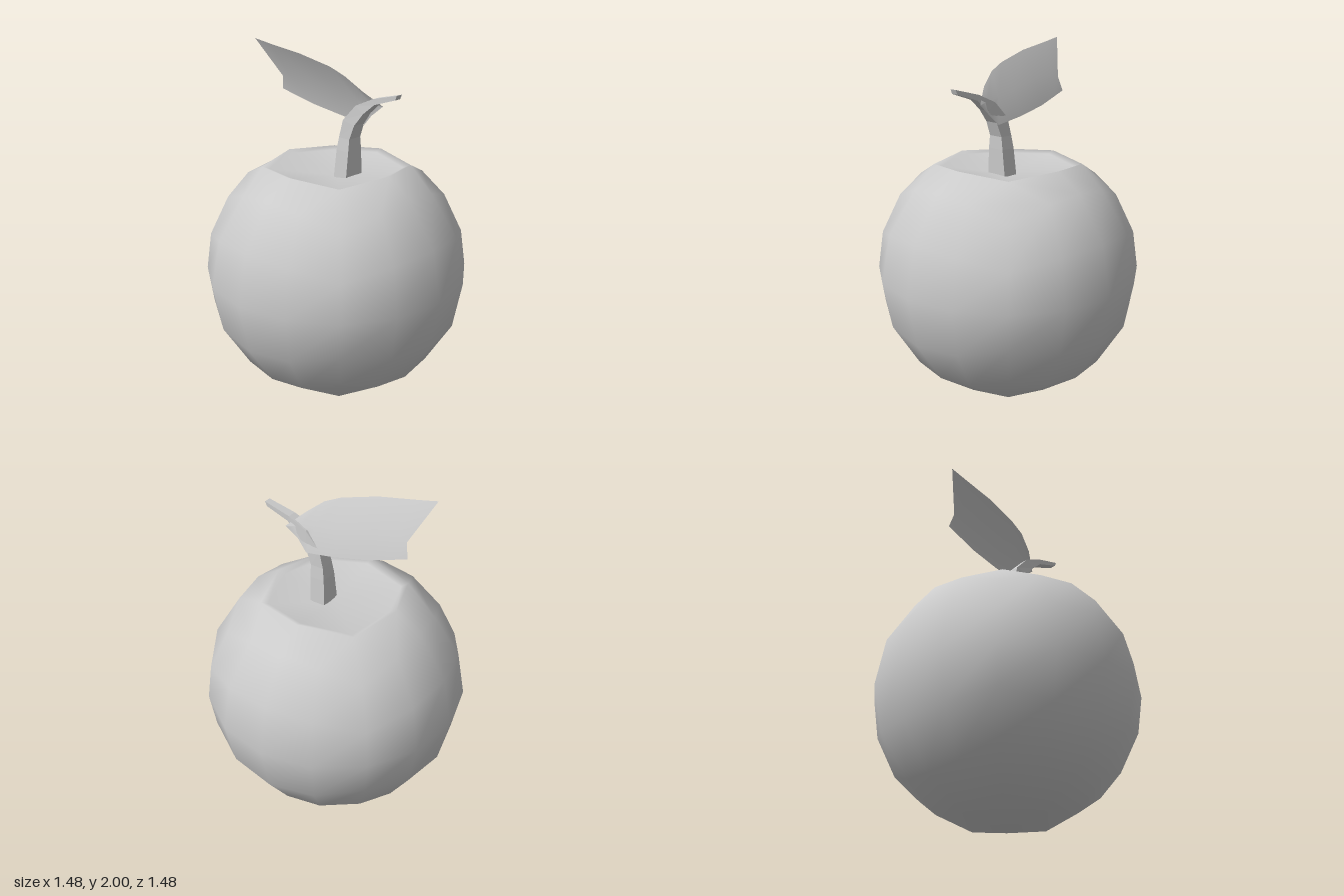
import * as THREE from 'three';
import { mergeVertices } from 'three/addons/utils/BufferGeometryUtils.js';

const grey = (opts = {}) => new THREE.MeshStandardMaterial({ color: 0xcccccc, ...opts });

function named(name, geometry, material) {
  const mesh = new THREE.Mesh(geometry, material);
  mesh.name = name;
  return mesh;
}

function indexed(points, index) {
  const g = new THREE.BufferGeometry();
  g.setAttribute('position', new THREE.Float32BufferAttribute(points.flat(), 3));
  g.setIndex(index);
  g.computeVertexNormals();
  return g;
}

// Joins cross-sections with the same number of points into one surface.
function loft(sections, closed) {
  const n = sections[0].length;
  const index = [];
  for (let s = 0; s < sections.length - 1; s++) {
    for (let i = 0; i < (closed ? n : n - 1); i++) {
      const a = s * n + i, b = s * n + ((i + 1) % n);
      index.push(b, a, a + n, b, a + n, b + n);
    }
  }
  if (closed) {
    const t = (sections.length - 1) * n;
    for (let i = 1; i < n - 1; i++) {
      index.push(t, t + i + 1, t + i, 0, i, i + 1);
    }
  }
  return indexed(sections.flat(), index);
}

// Fruit: a rounded cube of 4 x 4 quads per side, with a hollow sunk into the top.
function fruitGeometry() {
  const R = 0.74, centreY = 0.745;
  let box = new THREE.BoxGeometry(2, 2, 2, 4, 4, 4);
  box.deleteAttribute('uv');
  box.deleteAttribute('normal');
  box = mergeVertices(box);

  const pos = box.attributes.position;
  const points = [], rim = [];
  let centre = -1;
  for (let i = 0; i < pos.count; i++) {
    const v = new THREE.Vector3().fromBufferAttribute(pos, i);
    const onTop = v.y > 0.99 && Math.abs(v.x) < 0.6 && Math.abs(v.z) < 0.6;
    if (onTop && Math.hypot(v.x, v.z) < 0.1) {
      centre = i;
      points.push([0, 1.29, 0]);
    } else if (onTop) {
      // Widened rim, lower at its corners
      const corner = Math.abs(v.x * v.z) > 0.1;
      rim.push({ i, angle: Math.atan2(v.z, v.x) });
      const sx = Math.sign(Math.round(v.x * 2)), sz = Math.sign(Math.round(v.z * 2));
      const reach = corner ? 0.29 : 0.375;
      points.push([sx * reach, corner ? 1.345 : 1.365, sz * reach]);
    } else {
      // Equal angles between the grid lines
      v.set(...v.toArray().map((c) => Math.tan(c * Math.PI / 4))).setLength(R);
      points.push([v.x, v.y + centreY, v.z]);
    }
  }
  rim.sort((a, b) => a.angle - b.angle);

  // Drop the flat quads inside the rim
  const inside = new Set([centre, ...rim.map((r) => r.i)]);
  const old = box.index.array, index = [];
  for (let t = 0; t < old.length; t += 3) {
    const tri = [old[t], old[t + 1], old[t + 2]];
    if (!tri.every((i) => inside.has(i))) index.push(...tri);
  }

  // Narrow lip, then the floor of the hollow
  const first = points.length;
  rim.forEach(({ i }) => {
    const [x, y, z] = points[i];
    points.push([x * 0.9, y - 0.015, z * 0.9]);
  });
  rim.forEach(({ i }, k) => {
    const k2 = (k + 1) % rim.length;
    const j = rim[k2].i, a = first + k, b = first + k2;
    index.push(i, a, j, j, a, b, a, centre, b);
  });
  return indexed(points, index);
}

// Stem: each entry is [front z, front y, back z, back y, half width].
function stemGeometry() {
  const x = 0.02;
  const rings = [
    [0.11, 1.28, 0.02, 1.28, 0.066],
    [0.115, 1.45, 0.03, 1.45, 0.052],
    [0.115, 1.52, 0.04, 1.52, 0.044],
    [0.145, 1.6, 0.065, 1.62, 0.04],
    [0.2, 1.67, 0.15, 1.71, 0.034],
    [0.27, 1.73, 0.26, 1.76, 0.026],
    [0.405, 1.775, 0.415, 1.8, 0.02],
  ];
  return loft(rings.map(([zf, yf, zb, yb, w]) => [
    [x + w, yf, zf], [x - w, yf, zf], [x - w, yb, zb], [x + w, yb, zb],
  ]), true);
}

// Leaf: each section runs from the upper edge over the midrib to the lower edge.
function leafGeometry() {
  return loft([
    [[0.065, 1.71, 0.27], [0.065, 1.71, 0.27], [0.065, 1.705, 0.265]],
    [[0.0, 1.79, 0.18], [0.045, 1.72, 0.2], [0.055, 1.65, 0.2]],
    [[-0.035, 1.86, 0.09], [0.035, 1.73, 0.11], [0.07, 1.59, 0.14]],
    [[-0.05, 1.9, 0.0], [0.025, 1.76, -0.02], [0.065, 1.615, -0.03]],
    [[-0.08, 1.95, -0.2], [0.005, 1.8, -0.21], [0.045, 1.65, -0.22]],
    [[-0.1, 1.98, -0.4], [-0.01, 1.81, -0.36], [0.025, 1.69, -0.36]],
    [[-0.11, 2.0, -0.515], [-0.005, 1.79, -0.41], [0.015, 1.71, -0.43]],
  ], false);
}

export function createModel() {
  const model = new THREE.Group();
  model.name = 'apple';
  model.add(
    named('fruit', fruitGeometry(), grey()),
    named('stem', stemGeometry(), grey({ flatShading: true })),
    named('leaf', leafGeometry(), grey({ side: THREE.DoubleSide })),
  );
  return model;
}
